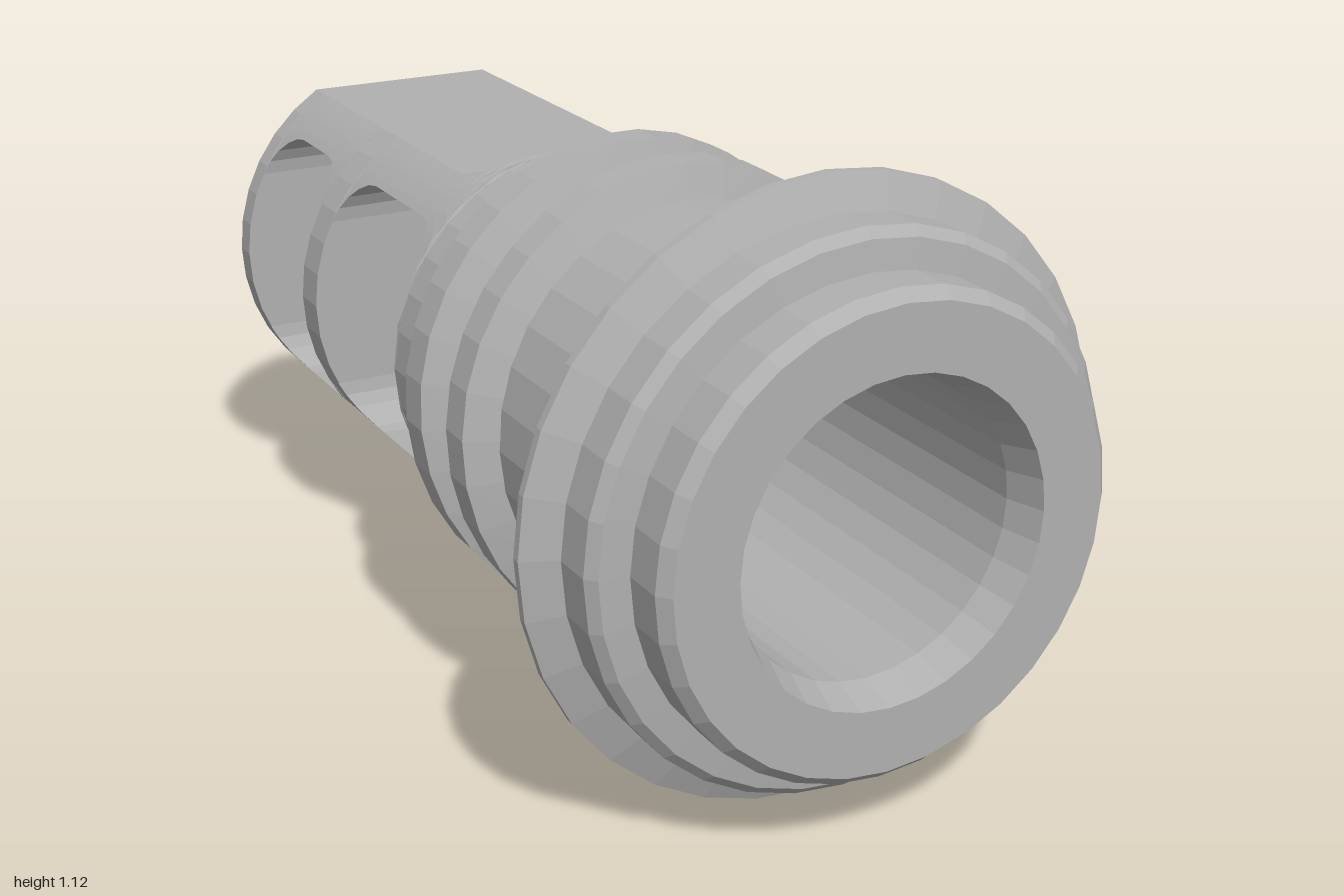
import * as THREE from 'three';

const R = 0.39;        // tube radius
const FLAT = 0.335;    // half height across the milled flats
const PORT = 0.265;    // half height of the side ports
const CORNER = 0.09;   // port corner radius

// Geometry from closed counter-clockwise sections, ordered from front to back
function loft(stations) {
  const pos = [], index = [], n = stations[0].pts.length;
  stations.forEach(s => s.pts.forEach(p => pos.push(p.x, p.y, s.z)));
  for (let s = 0; s < stations.length - 1; s++) {
    for (let i = 0; i < n; i++) {
      const j = (i + 1) % n, a = s * n, b = a + n;
      index.push(a + i, b + i, b + j, a + i, b + j, a + j);
    }
  }
  const last = (stations.length - 1) * n;
  for (const [a, b, c] of THREE.ShapeUtils.triangulateShape(stations[0].pts.slice(), [])) index.push(a, b, c);
  for (const [a, b, c] of THREE.ShapeUtils.triangulateShape(stations[stations.length - 1].pts.slice(), [])) {
    index.push(last + a, last + c, last + b);
  }
  const g = new THREE.BufferGeometry();
  g.setAttribute('position', new THREE.Float32BufferAttribute(pos, 3));
  g.setIndex(index);
  g.computeVertexNormals();
  return g;
}

// Height of the flat, with a curved run-out at its front end
function flatHeight(z) {
  const k = THREE.MathUtils.clamp((z + 0.2) / 0.1, 0, 1);
  return FLAT + (R - FLAT) * k * k;
}

// Round outline above y = h, cut off flat at y = t
function outline(h, t, r) {
  const pts = [], from = Math.asin(h / r), to = Math.asin(Math.min(0.9999, t / r));
  for (let i = 0; i <= 6; i++) {
    const a = from + (to - from) * i / 6;
    pts.push(new THREE.Vector2(r * Math.cos(a), r * Math.sin(a)));
  }
  return pts.concat(pts.slice().reverse().map(p => new THREE.Vector2(-p.x, p.y)));
}

// Upper half of a wall with a round hole
function wallSection(z, hole, t = flatHeight(z), r = R) {
  const pts = outline(0, t, r);
  for (let i = 0; i <= 16; i++) {
    const a = Math.PI * (1 - i / 16);
    pts.push(new THREE.Vector2(hole * Math.cos(a), hole * Math.sin(a)));
  }
  return { z, pts };
}

// Bar above a port, its underside following the rounded port corners
function barStations(z0, z1) {
  const zs = [];
  for (let i = 0; i <= 5; i++) zs.push(CORNER * (1 - Math.cos(i / 5 * Math.PI / 2)));
  const all = [...zs.map(d => z0 - d), ...zs.map(d => z1 + d).reverse()];
  return all.map(z => {
    const d = Math.max(0, CORNER - Math.min(z0 - z, z - z1));
    const h = PORT - CORNER + Math.sqrt(Math.max(0, CORNER * CORNER - d * d));
    return { z, pts: outline(h, flatHeight(z), r0(z)) };
  });
}
const r0 = () => R;

// Raised spiral rib with a trapezoid section, tapering at its back end
function spiralRib() {
  const start = 1.09 - 2 * Math.PI, end = 1.28 + 2 * Math.PI, steps = 66;
  const pos = [], index = [];
  for (let s = 0; s <= steps; s++) {
    const a = start + (end - start) * s / steps;
    const z = 0.255 - 0.09 * a / Math.PI;
    const k = Math.min(1, 0.35 + (end - a) / 0.5);
    const top = 0.385 + 0.067 * Math.min(1, k + 0.2);
    for (const [r, dz] of [[0.375, 0.059], [top, 0.034 * k], [top, -0.034], [0.375, -0.059]]) {
      pos.push(r * Math.sin(a), r * Math.cos(a), z + dz * (dz > 0 ? k : 1));
    }
  }
  for (let s = 0; s < steps; s++) {
    for (let i = 0; i < 4; i++) {
      const a = s * 4 + i, b = s * 4 + (i + 1) % 4;
      index.push(a, b, b + 4, a, b + 4, a + 4);
    }
  }
  const e = steps * 4;
  index.push(0, 2, 1, 0, 3, 2, e, e + 1, e + 2, e, e + 2, e + 3);
  // Choose the winding that faces outward
  const p = i => new THREE.Vector3().fromArray(pos, i * 3);
  const n = p(2).sub(p(1)).cross(p(6).sub(p(1)));
  if (n.dot(new THREE.Vector3(pos[3], pos[4], 0)) < 0) {
    for (let i = 0; i < index.length; i += 3) [index[i], index[i + 1]] = [index[i + 1], index[i]];
  }
  const g = new THREE.BufferGeometry();
  g.setAttribute('position', new THREE.Float32BufferAttribute(pos, 3));
  g.setIndex(index);
  g.computeVertexNormals();
  return g;
}

export function createModel() {
  const steel = new THREE.MeshStandardMaterial({ color: 0xb0b0b0, flatShading: true });
  steel.name = 'steel grey';
  const model = new THREE.Group();
  model.name = 'portedTube';
  const tube = new THREE.Group();
  tube.name = 'tube';
  tube.position.y = 0.56;
  model.add(tube);

  const add = (name, geometry, turn = 0) => {
    const mesh = new THREE.Mesh(geometry, steel);
    mesh.name = name;
    mesh.rotation.z = turn;
    tube.add(mesh);
  };

  // Stepped front collar, round body and bore: radius, z
  const profile = [
    [0.19, -0.1], [R, -0.1], [R, 0.595], [0.452, 0.595], [0.475, 0.725],
    [0.528, 0.725], [0.559, 0.757], [0.559, 0.773], [0.497, 0.8], [0.497, 0.875],
    [0.48, 0.893], [0.428, 0.9], [0.428, 0.978], [0.408, 1], [0.29, 1],
    [0.267, 0.93], [0.267, 0.0], [0.19, 0.0], [0.19, -0.1],
  ].map(([r, z]) => new THREE.Vector2(r, z));
  add('collarAndBody', new THREE.LatheGeometry(profile, 32).rotateX(Math.PI / 2));
  add('spiralRib', spiralRib());

  // Rear ported section: each part is a top half and its turned copy
  const parts = {
    frontWall: [wallSection(-0.1, 0.19), wallSection(-0.11, 0.19)],
    frontPortBar: barStations(-0.11, -0.515),
    middleWall: [wallSection(-0.515, 0.155), wallSection(-0.59, 0.155)],
    rearPortBar: barStations(-0.59, -0.912),
    endWall: [
      wallSection(-0.912, 0.155), wallSection(-0.96, 0.155),
      wallSection(-1, 0.2, FLAT - 0.03, R - 0.027),
    ],
  };
  for (const [name, stations] of Object.entries(parts)) {
    const geometry = loft(stations);
    add(name + 'Top', geometry);
    add(name + 'Bottom', geometry, Math.PI);
  }
  return model;
}
